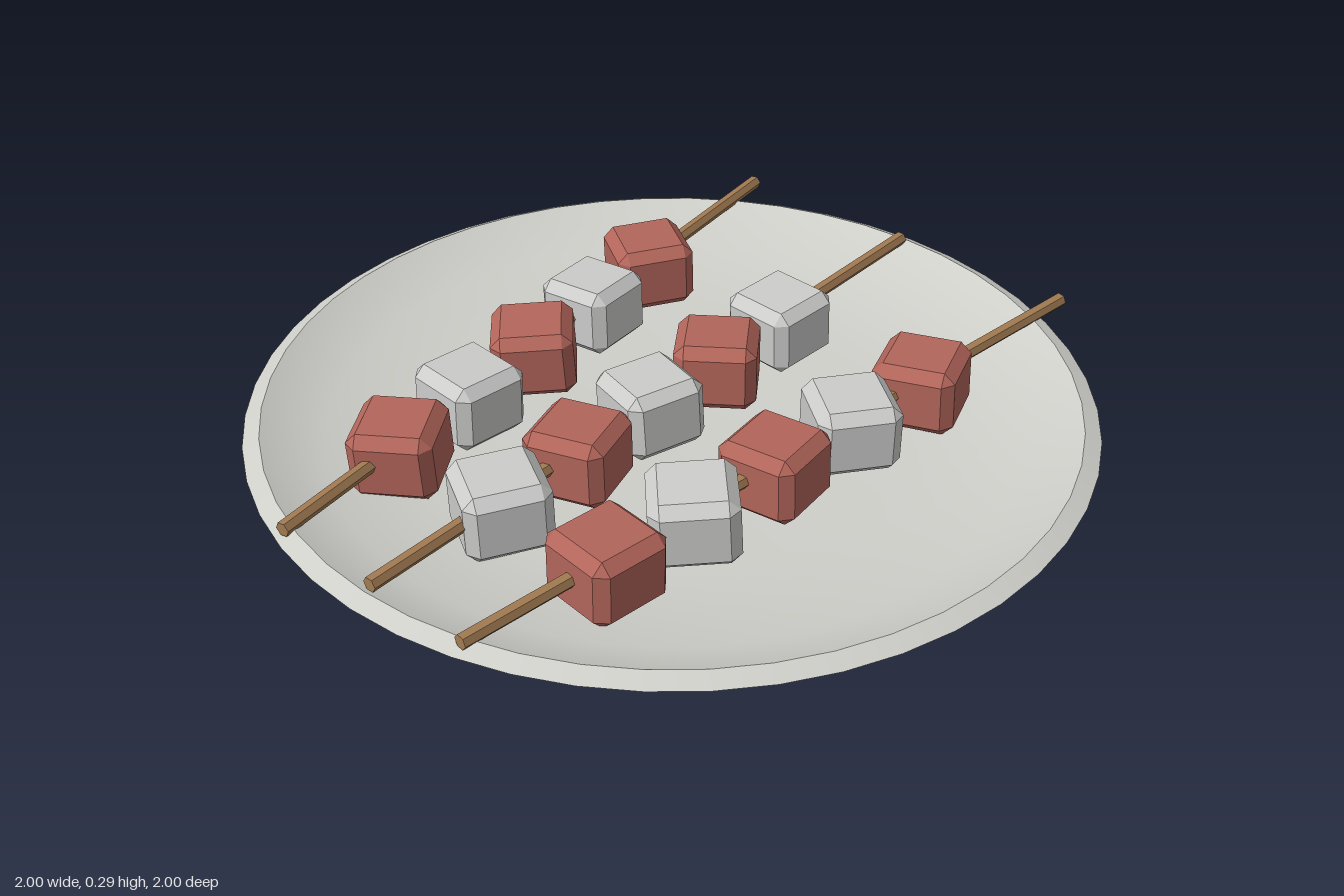
import * as THREE from 'three';
import { ConvexGeometry } from 'three/addons/geometries/ConvexGeometry.js';

const material = (name, color, extra = {}) => {
  const m = new THREE.MeshStandardMaterial({ color, ...extra });
  m.name = name;
  return m;
};

// Box with chamfered edges and clipped corners
function chamferedBox(w, h, d, bevel) {
  const points = [];
  for (const x of [-1, 1]) for (const y of [-1, 1]) for (const z of [-1, 1]) {
    for (let axis = 0; axis < 3; axis++) {
      const inset = [0, 1, 2].map((i) => (i === axis ? 0 : bevel));
      points.push(new THREE.Vector3(
        x * (w / 2 - inset[0]), y * (h / 2 - inset[1]), z * (d / 2 - inset[2])));
    }
  }
  return new ConvexGeometry(points);
}

export function createModel() {
  const model = new THREE.Group();
  model.name = 'skewerPlate';

  const ceramic = material('plate grey', 0xcfcfca);
  const wood = material('skewer wood', 0xa27b52, { flatShading: true });
  const red = material('red meat', 0xb2655a, { flatShading: true });
  const white = material('pale cube', 0xcccccb, { flatShading: true });

  // Plate: separate lathes keep the two rim edges sharp
  const plate = new THREE.Group();
  plate.name = 'plate';
  const profiles = {
    plateUnderside: [[0, 0], [0.55, 0], [0.6, 0.05], [0.86, 0.09], [1, 0.18]],
    plateRim: [[1, 0.18], [0.96, 0.2]],
    plateInside: [[0.96, 0.2], [0.82, 0.13], [0.55, 0.1], [0, 0.095]],
  };
  for (const [name, profile] of Object.entries(profiles)) {
    const points = profile.map(([r, y]) => new THREE.Vector2(r, y));
    const mesh = new THREE.Mesh(new THREE.LatheGeometry(points, 48), ceramic);
    mesh.name = name;
    plate.add(mesh);
  }
  model.add(plate);

  // Each skewer: end depths, first cube colour, cube turns in degrees
  const skewers = [
    { name: 'backSkewer', z0: -0.275, z1: -0.5, first: red, turns: [32, -5, 43, 5, -33] },
    { name: 'middleSkewer', z0: 0, z1: 0, first: white, turns: [-30, 17, -18, 35, -5] },
    { name: 'frontSkewer', z0: 0.265, z1: 0.49, first: red, turns: [-7, 43, 5, -38, 18] },
  ];
  const cubeGeometry = chamferedBox(0.2, 0.17, 0.2, 0.026);
  const end = 0.945;
  const stickY = 0.208;

  skewers.forEach(({ name, z0, z1, first, turns }, row) => {
    const skewer = new THREE.Group();
    skewer.name = name;

    // Stick
    const from = new THREE.Vector3(-end, stickY, z0);
    const to = new THREE.Vector3(end, stickY, z1);
    const direction = to.clone().sub(from);
    const stick = new THREE.Mesh(
      new THREE.CylinderGeometry(0.018, 0.018, direction.length(), 6), wood);
    stick.name = 'stick';
    stick.position.copy(from).lerp(to, 0.5);
    stick.quaternion.setFromUnitVectors(new THREE.Vector3(0, 1, 0), direction.normalize());
    skewer.add(stick);

    // Cubes in alternating colours, each slightly tilted
    turns.forEach((turn, i) => {
      const other = first === red ? white : red;
      const cube = new THREE.Mesh(cubeGeometry, i % 2 ? other : first);
      cube.name = cube.material === red ? 'meatCube' : 'paleCube';
      const x = -0.57 + i * 0.246;
      const z = THREE.MathUtils.lerp(z0, z1, (x + end) / (2 * end));
      cube.position.set(x, 0.197, z);
      cube.rotation.order = 'YXZ';
      cube.rotation.set(
        -0.03 + 0.03 * Math.sin(i * 2 + row), THREE.MathUtils.degToRad(turn),
        0.03 * Math.cos(i * 3 + row));
      skewer.add(cube);
    });
    model.add(skewer);
  });

  return model;
}
